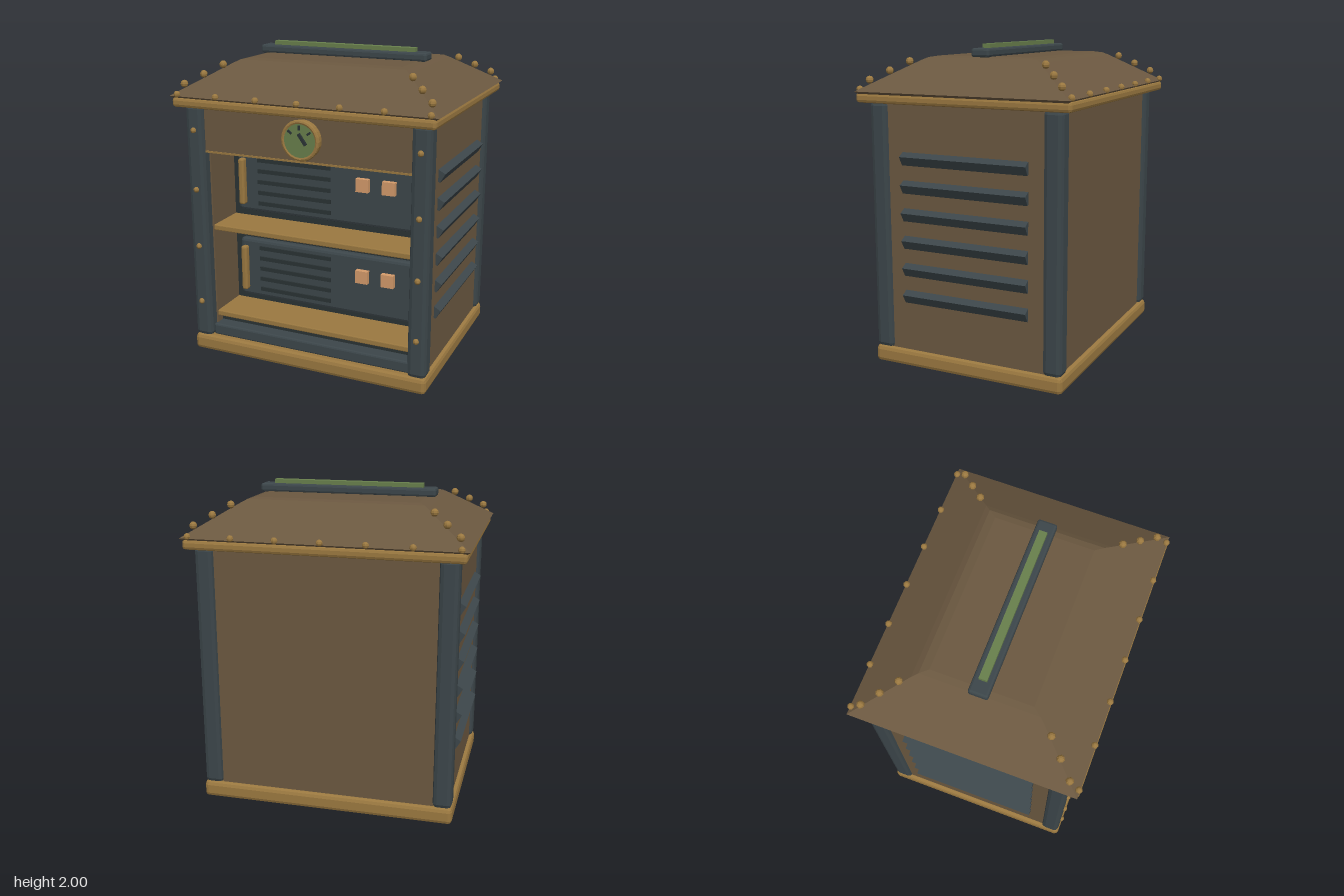
import * as THREE from 'three';
import { RoundedBoxGeometry } from 'three/addons/geometries/RoundedBoxGeometry.js';

const mat = (color) => new THREE.MeshStandardMaterial({ color, flatShading: true });

export function createModel() {
  const root = new THREE.Group();
  const bronze = mat(0x9a7840), brown = mat(0x6b5840), steel = mat(0x3c464a);
  const dark = mat(0x2a3234), green = mat(0x687f4c), copper = mat(0xd39a6a);

  const add = (name, geometry, material, x, y, z, parent = root) => {
    const mesh = new THREE.Mesh(geometry, material);
    mesh.name = name;
    mesh.position.set(x, y, z);
    parent.add(mesh);
    return mesh;
  };
  // Box given by its extents; a chamfer cuts its edges.
  const box = (name, material, [x0, x1], [y0, y1], [z0, z1], chamfer = 0, parent = root) => {
    const w = x1 - x0, h = y1 - y0, d = z1 - z0;
    const g = chamfer ? new RoundedBoxGeometry(w, h, d, 1, chamfer) : new THREE.BoxGeometry(w, h, d);
    return add(name, g, material, (x0 + x1) / 2, (y0 + y1) / 2, (z0 + z1) / 2, parent);
  };
  const span = (side, a, b) => (side > 0 ? [a, b] : [-b, -a]);
  const rivetShape = new THREE.SphereGeometry(1, 8, 6);
  const rivet = (x, y, z, r) => add('rivet', rivetShape, bronze, x, y, z).scale.setScalar(r);

  // Plinth and cornice
  box('base', bronze, [-0.81, 0.81], [0, 0.105], [-0.64, 0.64], 0.025);
  box('cornice', bronze, [-0.85, 0.85], [1.65, 1.71], [-0.7, 0.7], 0.018);

  // Corner posts
  for (const sx of [-1, 1]) {
    for (const sz of [-1, 1]) {
      box('cornerPost', steel, span(sx, 0.685, 0.805), [0.1, 1.66], span(sz, 0.513, 0.633), 0.028);
    }
    for (const y of [0.35, 0.735, 1.115, 1.5]) rivet(sx * 0.745, y, 0.636, 0.019);
  }

  // Walls
  box('backPanel', brown, [-0.69, 0.69], [0.1, 1.655], [-0.61, -0.57]);
  for (const s of [-1, 1]) {
    box('sideWall', brown, span(s, 0.675, 0.782), [0.1, 1.655], [-0.56, 0.56]);
    // Tilted louvre slats
    for (let i = 0; i < 6; i++) {
      const slat = add('louvreSlat', new THREE.BoxGeometry(0.06, 0.0635, 0.834), steel,
        s * 0.783, 1.322 - i * 0.173, 0);
      slat.rotation.z = -s * Math.PI / 6;
    }
  }

  // Interior block, header and lower rail
  box('interior', dark, [-0.68, 0.68], [0.1, 1.64], [-0.57, 0.28]);
  box('headerPanel', brown, [-0.69, 0.69], [1.36, 1.65], [0.27, 0.6]);
  box('headerTrim', bronze, [-0.69, 0.69], [1.357, 1.369], [0.55, 0.605]);
  box('lowerBack', dark, [-0.68, 0.68], [0.1, 0.23], [0.2, 0.5]);
  box('lowerRail', steel, [-0.69, 0.69], [0.1, 0.178], [0.48, 0.59], 0.012);

  // Shelves
  for (const y of [0.225, 0.828]) {
    box('shelf', bronze, [-0.685, 0.685], [y, y + 0.037], [0.25, 0.555], 0.006);
  }

  // Drawer units with vents, handle and two buttons
  for (const y of [0.508, 1.114]) {
    const unit = new THREE.Group();
    unit.name = 'drawerUnit';
    unit.position.y = y;
    root.add(unit);
    box('drawerFace', steel, [-0.62, 0.62], [-0.203, 0.203], [0.2, 0.325], 0.02, unit);
    for (let i = -2; i <= 2; i++) {
      box('ventBar', dark, [-0.47, 0.05], [i * 0.073 - 0.009, i * 0.073 + 0.017], [0.31, 0.335], 0, unit);
    }
    box('handle', bronze, [-0.596, -0.555], [-0.153, 0.157], [0.32, 0.37], 0.012, unit);
    for (const x of [0.275, 0.45]) {
      box('button', copper, [x - 0.042, x + 0.042], [0.028, 0.112], [0.31, 0.36], 0, unit);
    }
  }

  // Round gauge on the header
  const gauge = new THREE.Group();
  gauge.name = 'gauge';
  gauge.position.set(0, 1.505, 0);
  root.add(gauge);
  add('gaugeBody', new THREE.CylinderGeometry(0.12, 0.12, 0.05, 24).rotateX(Math.PI / 2), bronze, 0, 0, 0.62, gauge);
  add('gaugeRing', new THREE.TorusGeometry(0.112, 0.014, 8, 24), bronze, 0, 0, 0.643, gauge);
  add('gaugeFace', new THREE.CylinderGeometry(0.104, 0.104, 0.01, 24).rotateX(Math.PI / 2), green, 0, 0, 0.648, gauge);
  for (const a of [-0.9, 0, 0.9]) {
    const tick = add('gaugeTick', new THREE.BoxGeometry(0.012, 0.028, 0.012), dark,
      Math.sin(a) * 0.08, Math.cos(a) * 0.08, 0.656, gauge);
    tick.rotation.z = -a;
  }
  const needle = add('gaugeNeedle', new THREE.BoxGeometry(0.018, 0.08, 0.015), dark, 0.02, 0.012, 0.66, gauge);
  needle.rotation.z = 0.62;

  // Hipped roof from stacked rectangles: half width, height, half depth
  const rings = [
    [0.84, 1.7, 0.68], [0.866, 1.718, 0.695], [0.58, 1.9, 0.395],
    [0.55, 1.917, 0.36], [0.51, 1.925, 0.31],
  ];
  const corners = rings.map(([x, y, z]) => [[-x, y, z], [x, y, z], [x, y, -z], [-x, y, -z]]);
  const pos = [];
  const quad = (a, b, c, d) => pos.push(...a, ...b, ...c, ...a, ...c, ...d);
  for (let i = 0; i < rings.length - 1; i++) {
    for (let k = 0; k < 4; k++) {
      const n = (k + 1) % 4;
      quad(corners[i][k], corners[i][n], corners[i + 1][n], corners[i + 1][k]);
    }
  }
  quad(...corners[rings.length - 1]);
  quad(...[...corners[0]].reverse());
  const roof = new THREE.BufferGeometry();
  roof.setAttribute('position', new THREE.Float32BufferAttribute(pos, 3));
  roof.computeVertexNormals();
  add('roof', roof, brown, 0, 0, 0);

  // Rivets along the eaves and up the hips
  for (const sz of [-1, 1]) {
    for (let i = -3; i <= 3; i++) rivet(i * 0.272, 1.73, sz * 0.688, 0.021);
    for (const sx of [-1, 1]) {
      for (let i = 0; i < 3; i++) {
        rivet(sx * (0.8 - i * 0.088), 1.787 + i * 0.053, sz * (0.625 - i * 0.087), 0.024);
      }
    }
  }

  // Ridge bar with inlay
  box('ridgeBar', steel, [-0.57, 0.57], [1.922, 1.975], [-0.06, 0.06], 0.014);
  box('ridgeInlay', green, [-0.485, 0.485], [1.96, 2], [-0.025, 0.025]);

  return root;
}
